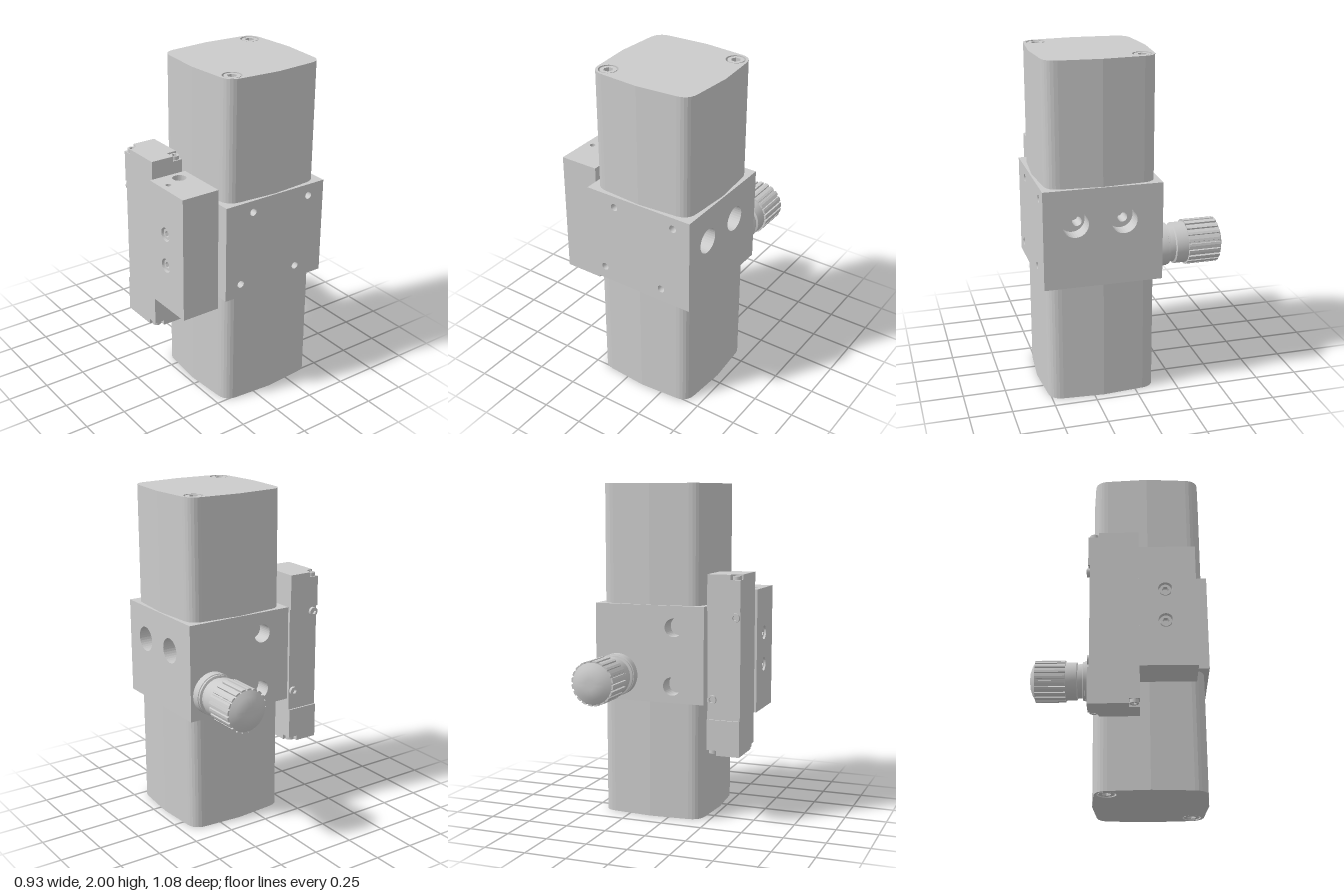
import * as THREE from 'three';
import { toCreasedNormals } from 'three/addons/utils/BufferGeometryUtils.js';

const material = new THREE.MeshStandardMaterial({ color: 0xcccccc });

function add(parent, name, geometry, x = 0, y = 0, z = 0, rx = 0, ry = 0) {
  const mesh = new THREE.Mesh(geometry, material);
  mesh.name = name;
  mesh.position.set(x, y, z);
  mesh.rotation.set(rx, ry, 0);
  parent.add(mesh);
  return mesh;
}

// Box given by its limits
function box(parent, name, x0, x1, y0, y1, z0, z1) {
  return add(parent, name, new THREE.BoxGeometry(x1 - x0, y1 - y0, z1 - z0),
    (x0 + x1) / 2, (y0 + y1) / 2, (z0 + z1) / 2);
}

const circle = (x, y, r) => new THREE.Path().absarc(x, y, r, 0, Math.PI * 2, true);

function extrude(shape, depth, holes = []) {
  for (const [x, y, r] of holes) shape.holes.push(circle(x, y, r));
  return new THREE.ExtrudeGeometry(shape, { depth, bevelEnabled: false, curveSegments: 16 });
}

// Rectangle in XY with round holes, front face at z = 0, thickness behind it
function plate(x0, x1, y0, y1, depth, holes) {
  const pts = [[x0, y0], [x1, y0], [x1, y1], [x0, y1]].map(p => new THREE.Vector2(...p));
  return extrude(new THREE.Shape(pts), depth, holes).translate(0, 0, -depth);
}

// Screw head with a hexagonal socket, top face at z = 0
function screwHead(r, depth) {
  const shape = new THREE.Shape().absarc(0, 0, r, 0, Math.PI * 2, false);
  const hex = [];
  for (let i = 0; i < 6; i++) {
    const a = -i * Math.PI / 3;
    hex.push(new THREE.Vector2(Math.cos(a) * r * 0.6, Math.sin(a) * r * 0.6));
  }
  shape.holes.push(new THREE.Path(hex));
  return extrude(shape, depth).translate(0, 0, -depth);
}

// Square outline with slightly bulged sides and rounded corners
function columnShape() {
  const pts = [];
  for (let q = 0; q < 4; q++) {
    const corner = new THREE.QuadraticBezierCurve(new THREE.Vector2(0.317, 0.24),
      new THREE.Vector2(0.31, 0.31), new THREE.Vector2(0.24, 0.317)).getPoints(6);
    for (const p of [new THREE.Vector2(0.335, 0), ...corner]) {
      pts.push(p.rotateAround(new THREE.Vector2(), q * Math.PI / 2));
    }
  }
  return new THREE.Shape(pts);
}

const UP = -Math.PI / 2;

// Cylinder column above the block, centred on its own axis
function makeColumn(name) {
  const g = new THREE.Group();
  g.name = name;
  const screws = [[0.245, 0.245], [-0.245, -0.245]];
  add(g, 'columnBody', extrude(columnShape(), 0.68), 0, 0.29, 0, UP);
  add(g, 'columnEnd', extrude(columnShape(), 0.03, screws.map(s => [...s, 0.055])), 0, 0.97, 0, UP);
  for (const [x, y] of screws) add(g, 'columnScrew', screwHead(0.046, 0.03), x, 0.998, -y, UP);
  return g;
}

// Valve end cap with two notched corners holding screws
function makeValveCap(name) {
  const g = new THREE.Group();
  g.name = name;
  box(g, 'capBody', -0.1, 0.1, 0.32, 0.503, -0.15, 0.14);
  const n = 0.06;
  const s = new THREE.Shape();
  s.moveTo(-0.1, -0.14);
  s.lineTo(0.1 - n, -0.14);
  s.lineTo(0.1 - n, -0.14 + n);
  s.lineTo(0.1, -0.14 + n);
  s.lineTo(0.1, 0.15);
  s.lineTo(-0.1 + n, 0.15);
  s.quadraticCurveTo(-0.1 + n, 0.15 - n, -0.1, 0.15 - n);
  add(g, 'capTop', extrude(s, 0.03), 0, 0.503, 0, UP);
  add(g, 'capScrew', screwHead(0.026, 0.022), -0.07, 0.525, -0.116, UP);
  add(g, 'capScrew', screwHead(0.026, 0.022), 0.07, 0.525, 0.108, UP);
  return g;
}

// Adjusting knob along +z from its base
function makeKnob() {
  const g = new THREE.Group();
  g.name = 'adjustingKnob';
  const turned = (name, profile) => {
    const geo = new THREE.LatheGeometry(profile.map(p => new THREE.Vector2(...p)), 40);
    add(g, name, toCreasedNormals(geo.rotateX(Math.PI / 2), 0.45));
  };
  turned('knobNeck', [[0.127, 0], [0.127, 0.048], [0.122, 0.05], [0.122, 0.062], [0.108, 0.066],
    [0.108, 0.095], [0.12, 0.1], [0.12, 0.18]]);
  turned('knobDome', [[0.122, 0.355], [0.122, 0.36], [0.09, 0.378], [0.055, 0.39], [0.03, 0.392], [0, 0.392]]);
  // Ribbed grip
  const pts = [], ribs = 20;
  for (let i = 0; i < ribs; i++) {
    for (const [t, r] of [[0, 0.12], [0.24, 0.12], [0.28, 0.131], [0.62, 0.132], [0.96, 0.131]]) {
      const a = (i + t) / ribs * Math.PI * 2;
      pts.push(new THREE.Vector2(Math.cos(a) * r, Math.sin(a) * r));
    }
  }
  add(g, 'knobGrip', extrude(new THREE.Shape(pts), 0.19), 0, 0, 0.17);
  return g;
}

export function createModel() {
  const model = new THREE.Group();
  model.name = 'pneumaticValveUnit';

  // Central block, made of drilled plates around a solid core
  const block = new THREE.Group();
  block.name = 'centralBlock';
  model.add(block);
  box(block, 'blockCore', -0.23, 0.26, 0.71, 1.29, -0.05, 0.44);
  add(block, 'blockFront', plate(-0.23, 0.46, 0.71, 1.29, 0.1,
    [[-0.045, 1.22, 0.022], [0.35, 1.22, 0.022], [-0.125, 0.79, 0.022], [0.27, 0.79, 0.022]]), 0, 0, 0.54);
  add(block, 'blockBack', plate(-0.46, 0.23, 0.71, 1.29, 0.1,
    [[0.04, 1.16, 0.055], [0.03, 0.81, 0.055]]), 0, 0, -0.15, 0, Math.PI);
  add(block, 'blockPorts', plate(-0.44, 0.05, 0.71, 1.29, 0.1,
    [[-0.355, 1.085, 0.075], [-0.075, 1.085, 0.075]]), 0.46, 0, 0, 0, Math.PI / 2);
  add(block, 'blockPortBores', plate(-0.44, 0.05, 0.71, 1.29, 0.1,
    [[-0.325, 1.07, 0.028], [-0.06, 1.07, 0.028]]), 0.36, 0, 0, 0, Math.PI / 2);

  // Upper column, and the same one turned over below
  const upper = makeColumn('upperColumn');
  upper.position.set(0.115, 1, 0.195);
  const lower = makeColumn('lowerColumn');
  lower.position.copy(upper.position);
  lower.rotation.z = Math.PI;
  model.add(upper, lower);

  // Connection block on the side
  const side = new THREE.Group();
  side.name = 'connectionBlock';
  model.add(side);
  box(side, 'connectionCore', -0.425, -0.23, 0.63, 1.275, 0.14, 0.465);
  add(side, 'connectionTop', plate(-0.465, -0.23, -0.465, -0.14, 0.1,
    [[-0.312, -0.205, 0.04], [-0.415, -0.253, 0.017]]), 0, 1.375, 0, UP);
  add(side, 'connectionFace', plate(0.14, 0.465, 0.63, 1.275, 0.04,
    [[0.29, 0.905, 0.042], [0.29, 1.1, 0.042]]), -0.465, 0, 0, 0, UP);
  for (const y of [0.905, 1.1]) {
    add(side, 'connectionScrew', screwHead(0.033, 0.03), -0.455, y, 0.29, 0, UP);
  }

  // Valve body with an end cap at the top and the bottom
  const valve = new THREE.Group();
  valve.name = 'valve';
  valve.position.set(-0.35, 0.948, 0);
  model.add(valve);
  box(valve, 'valveBody', -0.1, 0.1, -0.32, 0.32, -0.14, 0.14);
  const bottomCap = makeValveCap('bottomCap');
  bottomCap.rotation.z = Math.PI;
  valve.add(makeValveCap('topCap'), bottomCap);
  for (const [x, y] of [[-0.07, 0.285], [0.07, -0.2]]) {
    add(valve, 'valveScrew', screwHead(0.027, 0.02), x, y, -0.158, 0, Math.PI);
  }

  const knob = makeKnob();
  knob.position.set(0.317, 0.865, -0.15);
  knob.rotation.y = Math.PI;
  model.add(knob);
  return model;
}
